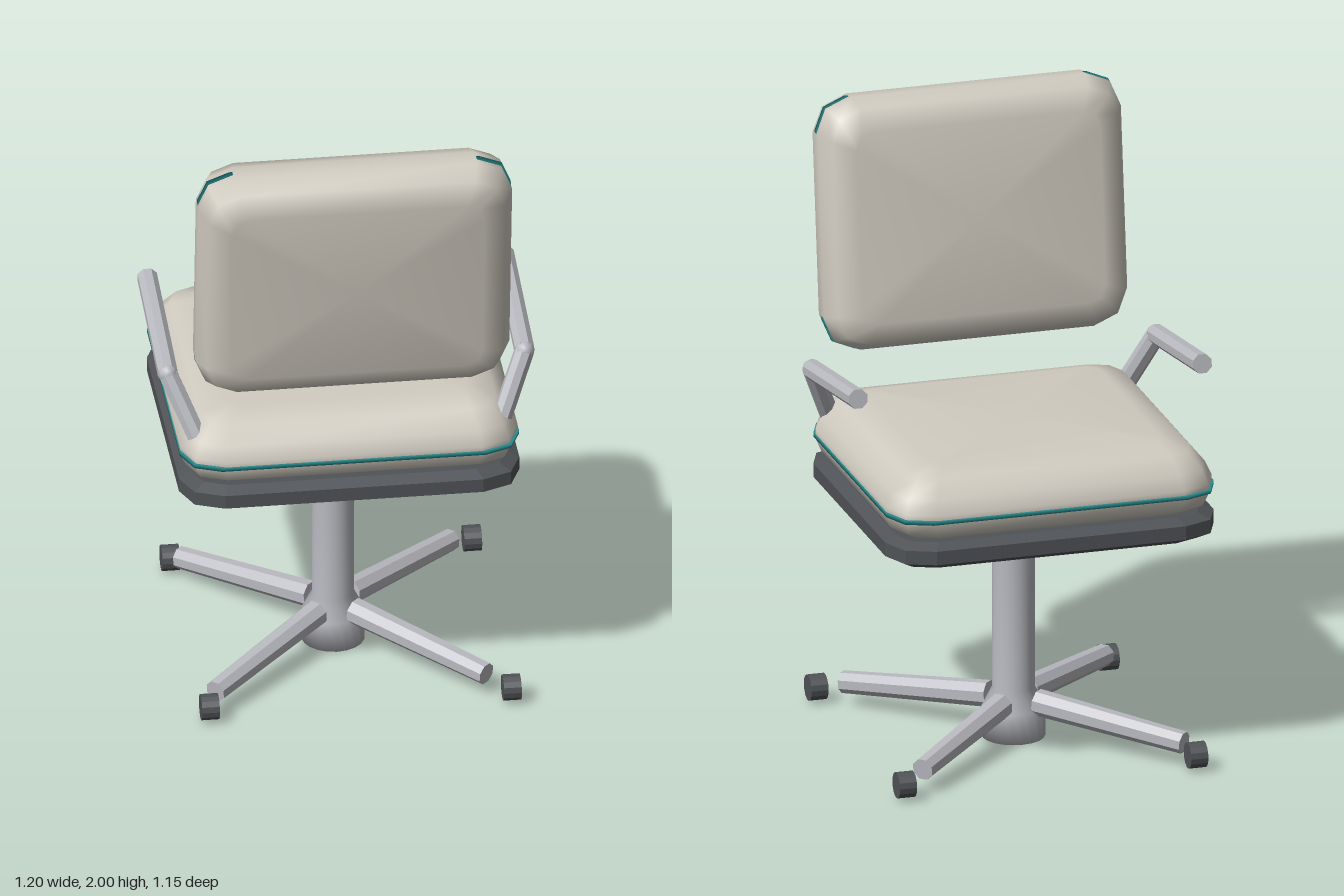
import * as THREE from 'three';

const mat = (color, flatShading = false) => new THREE.MeshStandardMaterial({ color, flatShading });
const fabric = mat(0xd0cbc0);
const piping = mat(0x2a8a8c);
const metal = mat(0xb9bac0);
const metalFlat = mat(0xb9bac0, true);
const dark = mat(0x505357, true);

const Z0 = -0.055; // the seat and pedestal sit a little off the origin

// Lofted pad: rounded rectangles stacked along y, profile rows are [inset, y]
function padGeometry(hx, hz, radius, profile, steps = 2) {
  const pos = [], idx = [];
  const n = 4 * (steps + 1);
  for (const [inset, y] of profile) {
    const r = Math.max(radius - inset * 0.6, 0.02);
    for (let c = 0; c < 4; c++) {
      const sx = c === 0 || c === 3 ? 1 : -1, sz = c < 2 ? 1 : -1;
      for (let s = 0; s <= steps; s++) {
        const a = (c + s / steps) * Math.PI / 2;
        pos.push(sx * (hx - inset - r) + r * Math.cos(a), y, sz * (hz - inset - r) + r * Math.sin(a));
      }
    }
  }
  const last = profile.length - 1;
  pos.push(0, profile[0][1], 0, 0, profile[last][1], 0);
  const bottom = n * profile.length, top = bottom + 1;
  for (let j = 0; j < n; j++) {
    const k = (j + 1) % n;
    for (let i = 0; i < last; i++) {
      const a = i * n + j, b = i * n + k;
      idx.push(a, a + n, b, b, a + n, b + n);
    }
    idx.push(bottom, j, k, top, last * n + k, last * n + j);
  }
  const g = new THREE.BufferGeometry();
  g.setAttribute('position', new THREE.Float32BufferAttribute(pos, 3));
  g.setIndex(idx);
  g.computeVertexNormals();
  return g;
}

function add(parent, name, geometry, material, x = 0, y = 0, z = 0) {
  const m = new THREE.Mesh(geometry, material);
  m.name = name;
  m.position.set(x, y, z);
  parent.add(m);
  return m;
}

// Straight rod between two points
function rod(parent, name, from, to, r0, r1, sides) {
  const a = new THREE.Vector3(...from), b = new THREE.Vector3(...to);
  const dir = b.clone().sub(a);
  const g = new THREE.CylinderGeometry(r1, r0, dir.length(), sides);
  g.rotateY(Math.PI / sides);
  const m = add(parent, name, g, metalFlat);
  m.position.copy(a).add(b).multiplyScalar(0.5);
  m.quaternion.setFromUnitVectors(new THREE.Vector3(0, 1, 0), dir.normalize());
}

export function createModel() {
  const chair = new THREE.Group();
  chair.name = 'officeChair';

  // Seat cushion with its piping, and the shell under it
  add(chair, 'seatCushion', padGeometry(0.537, 0.514, 0.13, [
    [0.062, 0.85], [0.02, 0.873], [0.002, 0.915], [0.002, 0.945], [0.022, 0.99], [0.068, 1.045], [0.155, 1.07],
  ]), fabric, 0, 0, Z0);
  add(chair, 'seatPiping', padGeometry(0.538, 0.515, 0.12, [[0, 0.917], [0, 0.93]]), piping, 0, 0, Z0);
  add(chair, 'seatShell', padGeometry(0.54, 0.518, 0.13, [
    [0.045, 0.76], [0, 0.785], [0, 0.83], [0.04, 0.847],
  ]), dark, 0, 0, Z0);

  // Backrest, leaning toward +z
  const back = new THREE.Group();
  back.name = 'backrest';
  back.position.set(0, 1.593, 0.416);
  back.rotation.x = Math.PI / 2 + 0.117;
  chair.add(back);
  add(back, 'backCushion', padGeometry(0.5, 0.41, 0.115, [
    [0.1, -0.125], [0.03, -0.092], [0.002, -0.03], [0.002, 0.03], [0.03, 0.092], [0.1, 0.125],
  ]), fabric);
  add(back, 'backPiping', padGeometry(0.497, 0.407, 0.1, [[0, -0.008], [0, 0.008]]), piping);

  // Pedestal column, wide at the foot and flared at the top
  const column = [[0, 0], [0.1, 0], [0.1, 0.1], [0.067, 0.165], [0.067, 0.655], [0.082, 0.7], [0, 0.7]];
  add(chair, 'column', new THREE.LatheGeometry(column.map(p => new THREE.Vector2(...p)), 20), metal, 0, 0, Z0);

  // Four diagonal legs, each with a caster
  for (const sx of [-1, 1]) {
    for (const sz of [-1, 1]) {
      rod(chair, 'leg', [sx * 0.06, 0.123, Z0 + sz * 0.06], [sx * 0.43, 0.075, Z0 + sz * 0.43], 0.043, 0.036, 8);
      const wheel = new THREE.CylinderGeometry(0.042, 0.042, 0.056, 14);
      wheel.rotateZ(Math.PI / 2);
      add(chair, 'caster', wheel, dark, 0.024 + sx * 0.479, 0.049, Z0 + sz * 0.478);
    }
  }

  // Bent tubular armrests
  for (const s of [-1, 1]) {
    const arm = new THREE.Group();
    arm.name = s > 0 ? 'leftArmrest' : 'rightArmrest';
    chair.add(arm);
    const elbow = [s * 0.566, 1.172, 0.26];
    rod(arm, 'armSupport', [s * 0.485, 0.985, 0.34], elbow, 0.032, 0.032, 8);
    rod(arm, 'armRail', elbow, [s * 0.566, 1.242, -0.237], 0.033, 0.033, 8);
    add(arm, 'armElbow', new THREE.SphereGeometry(0.032, 10, 8), metal, ...elbow);
  }
  return chair;
}
